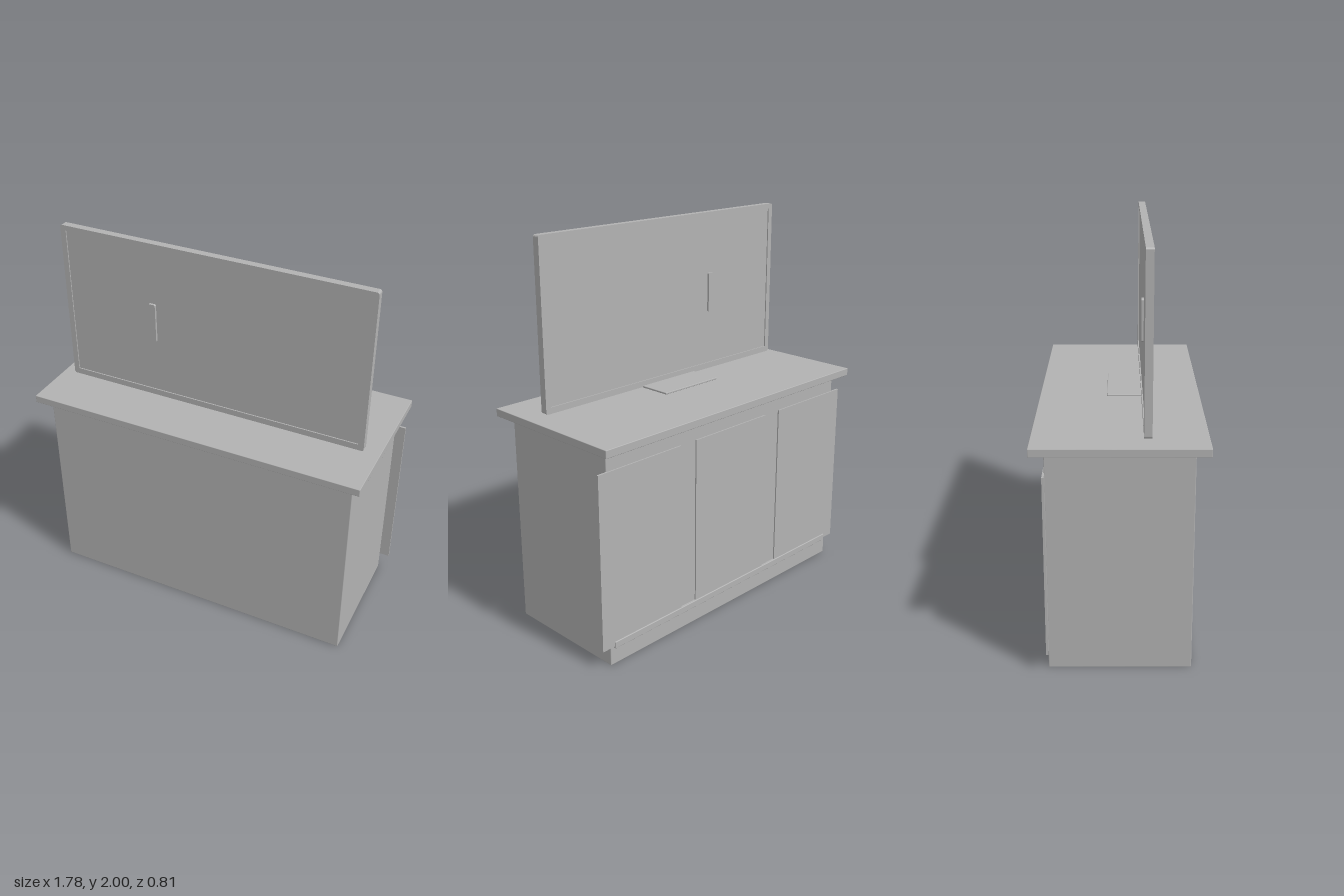
import * as THREE from 'three';
import { RoundedBoxGeometry } from 'three/addons/geometries/RoundedBoxGeometry.js';

export function createModel() {
  const group = new THREE.Group();
  const grey = new THREE.MeshStandardMaterial({ color: 0xb2b2b2 });
  grey.name = 'plain grey';

  const add = (name, geometry) => {
    const mesh = new THREE.Mesh(geometry, grey);
    mesh.name = name;
    group.add(mesh);
    return mesh;
  };
  // Box given by its extents, with an optional small edge radius
  const box = (name, [x0, x1], [y0, y1], [z0, z1], radius = 0) => {
    const size = [x1 - x0, y1 - y0, z1 - z0];
    const geometry = radius
      ? new RoundedBoxGeometry(...size, 2, radius)
      : new THREE.BoxGeometry(...size);
    add(name, geometry).position.set((x0 + x1) / 2, (y0 + y1) / 2, (z0 + z1) / 2);
  };
  // Rectangle outline with rounded corners
  const roundedRect = (Type, x0, x1, y0, y1, r) => {
    const p = new Type();
    p.absarc(x1 - r, y1 - r, r, 0, Math.PI / 2);
    p.absarc(x0 + r, y1 - r, r, Math.PI / 2, Math.PI);
    p.absarc(x0 + r, y0 + r, r, Math.PI, Math.PI * 1.5);
    p.absarc(x1 - r, y0 + r, r, Math.PI * 1.5, Math.PI * 2);
    p.closePath();
    return p;
  };

  // Cabinet and worktop
  box('cabinetBody', [-0.835, 0.835], [0, 1.096], [-0.34, 0.34], 0.004);
  box('worktop', [-0.888, 0.888], [1.095, 1.135], [-0.406, 0.406], 0.003);

  // Three thin doors on the back, with a rail along their foot
  for (const x of [-0.627, 0, 0.627]) {
    box('door', [x - 0.261, x + 0.261], [0.1, 1.0], [-0.347, -0.337]);
  }
  box('footRail', [-0.815, 0.815], [0.09, 0.125], [-0.353, -0.337], 0.003);

  // Screen frame with a panel set back on both sides
  const outline = roundedRect(THREE.Shape, -0.811, 0.811, 1.153, 2, 0.012);
  const opening = new THREE.Path([
    [-0.782, 1.185], [-0.782, 1.973], [0.782, 1.973], [0.782, 1.185],
  ].map(([x, y]) => new THREE.Vector2(x, y)));
  opening.closePath();
  outline.holes.push(opening);
  const frame = new THREE.ExtrudeGeometry(outline, { depth: 0.037, bevelEnabled: false, curveSegments: 4 });
  add('screenFrame', frame).position.z = 0.107;
  box('screenPanel', [-0.783, 0.783], [1.184, 1.974], [0.113, 0.138]);

  // Upright handle passing through the panel
  const handle = new THREE.ExtrudeGeometry(
    roundedRect(THREE.Shape, -0.336, -0.297, 1.47, 1.68, 0.008),
    { depth: 0.049, bevelEnabled: false, curveSegments: 4 });
  add('handle', handle).position.z = 0.102;

  // Flat stand plate behind the screen
  box('standPlate', [-0.188, 0.188], [1.15, 1.16], [-0.064, 0.108], 0.003);

  return group;
}
